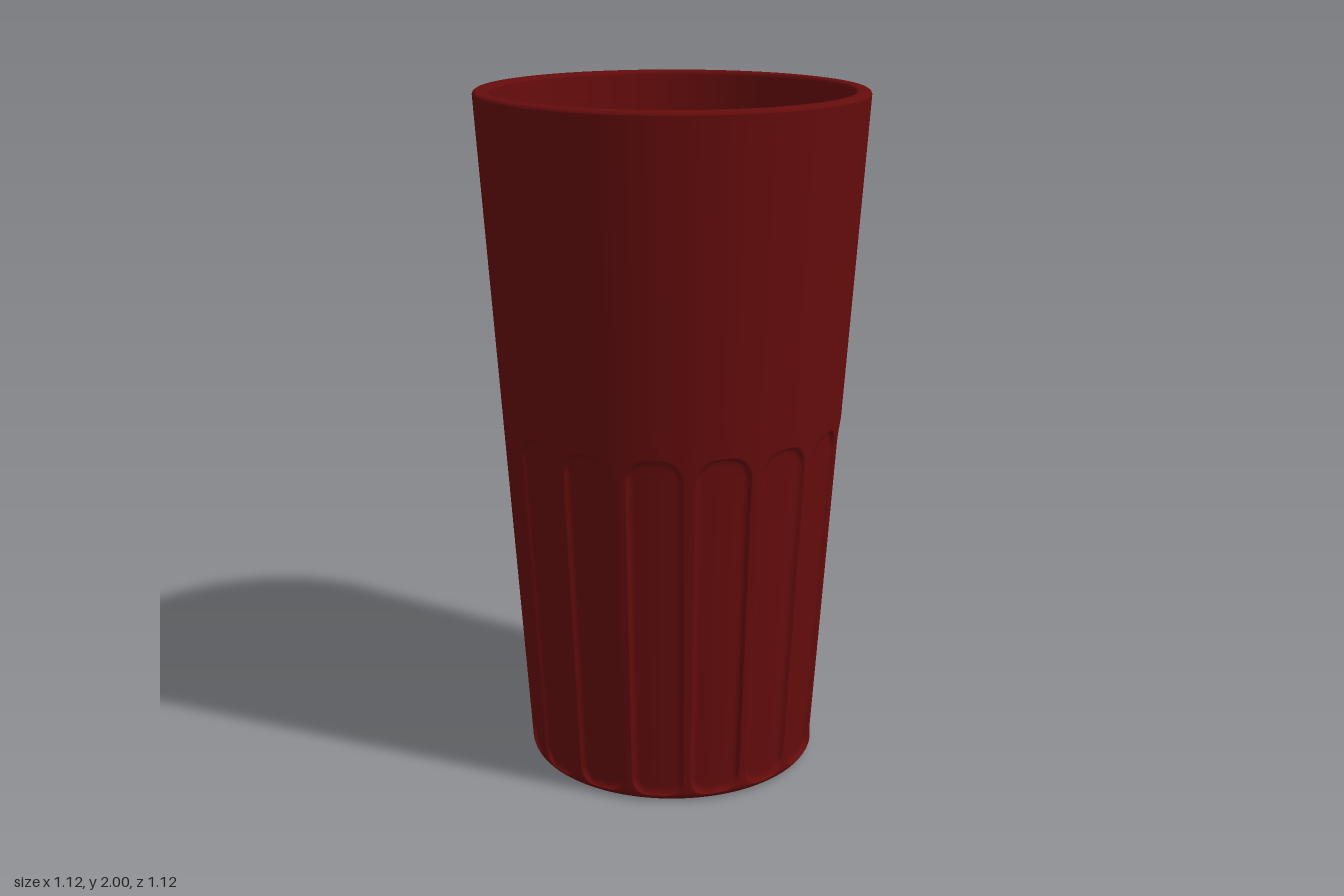
import * as THREE from 'three';

const FLUTES = 16, PITCH = (Math.PI * 2) / FLUTES;
const BOTTOM = 0.02, TOP = 1.06;      // height range of the flutes
const R_BOTTOM = 0.05, R_TOP = 0.07;  // corner radii of the flute outline
const DEPTH = 0.013, BEVEL = 0.02;
const FILLET = 0.03;

// Tapered outer wall with a rounded foot
function outerRadius(y) {
  const r = 0.4295 + 0.0652 * y;
  const k = Math.max(0, 1 - y / FILLET);
  return r - FILLET * (1 - Math.sqrt(1 - k * k));
}

const fluteHalfWidth = (y) => 0.073 + 0.006 * y;

// Half width of the rounded flute outline at height y
function outlineHalfWidth(y) {
  const hw = fluteHalfWidth(y);
  const inset = (r, d) => hw - r + Math.sqrt(Math.max(0, r * r - d * d));
  if (y > TOP - R_TOP) return inset(R_TOP, Math.min(R_TOP, y - TOP + R_TOP));
  if (y < BOTTOM + R_BOTTOM) return inset(R_BOTTOM, Math.min(R_BOTTOM, BOTTOM + R_BOTTOM - y));
  return hw;
}

// Groove depth: a rounded step down from the outline to a level floor
function fluteDepth(x, y) {
  if (y <= BOTTOM || y >= TOP) return 0;
  const r = y > (BOTTOM + TOP) / 2 ? R_TOP : R_BOTTOM;
  const dx = Math.abs(x) - fluteHalfWidth(y) + r;
  const dy = Math.max(y - TOP, BOTTOM - y) + r;
  const edge = r - Math.hypot(Math.max(dx, 0), Math.max(dy, 0)) - Math.min(Math.max(dx, dy), 0);
  const k = 1 - THREE.MathUtils.clamp(edge / BEVEL, 0, 1);
  return DEPTH * Math.sqrt(1 - k * k);
}

function flutedWall() {
  // Rows gather at the foot and at both ends of the flutes
  const rows = [];
  for (let i = 0; i < 6; i++) rows.push(FILLET * (1 - Math.cos((i / 6) * Math.PI / 2)));
  for (let i = 0; i <= 10; i++) rows.push(BOTTOM + R_BOTTOM * (1 - Math.cos((i / 10) * Math.PI / 2)));
  for (let i = 1; i < 10; i++) rows.push(THREE.MathUtils.lerp(BOTTOM + R_BOTTOM, TOP - R_TOP, i / 10));
  for (let i = 0; i <= 12; i++) rows.push(TOP - R_TOP + R_TOP * Math.sin((i / 12) * Math.PI / 2));
  for (let i = 1; i <= 8; i++) rows.push(THREE.MathUtils.lerp(TOP, 1.99, i / 8));
  rows.sort((a, b) => a - b);

  // Columns of one sector: |t| <= 1 lies in the flute, beyond that on the rib
  const half = [0.4, 0.73, 0.8, 0.87, 0.95, 1, 1.25, 1.5, 1.75];
  const columns = [...half.map((t) => -t).reverse(), 0, ...half, 2];
  const n = columns.length * FLUTES;
  const positions = [], index = [];
  for (const y of rows) {
    const r = outerRadius(y), w = outlineHalfWidth(y);
    for (let s = 0; s < FLUTES; s++) {
      for (const t of columns) {
        const a = Math.abs(t);
        const x = a <= 1 ? a * w : THREE.MathUtils.lerp(w, (PITCH / 2) * r, a - 1);
        const angle = s * PITCH + (Math.sign(t) * x) / r;
        const d = r - (a < 1 ? fluteDepth(x, y) : 0);
        positions.push(d * Math.sin(angle), y, d * Math.cos(angle));
      }
    }
  }
  for (let j = 0; j < rows.length - 1; j++) {
    for (let i = 0; i < n; i++) {
      const a = j * n + i, b = j * n + ((i + 1) % n);
      index.push(a, b, b + n, a, b + n, a + n);
    }
  }
  const geometry = new THREE.BufferGeometry();
  geometry.setAttribute('position', new THREE.Float32BufferAttribute(positions, 3));
  geometry.setIndex(index);
  geometry.computeVertexNormals();
  return geometry;
}

const lathe = (points) =>
  new THREE.LatheGeometry(points.map(([x, y]) => new THREE.Vector2(x, y)), 128);

export function createModel() {
  const group = new THREE.Group();
  const material = new THREE.MeshStandardMaterial({ color: 0x660c0c, side: THREE.DoubleSide });
  const add = (name, geometry) => {
    const mesh = new THREE.Mesh(geometry, material);
    mesh.name = name;
    group.add(mesh);
  };

  add('flutedOuterWall', flutedWall());

  // Flat lip with softened edges
  const lip = outerRadius(1.99);
  add('rim', lathe([[lip, 1.99], [lip - 0.002, 1.996], [lip - 0.008, 2],
    [0.522, 2], [0.517, 1.997], [0.515, 1.99]]));

  // Inner wall runs down into a small fillet at the floor
  const inside = [[0.515, 1.99]];
  for (let i = 0; i <= 6; i++) {
    const a = (i / 6) * Math.PI / 2;
    inside.push([0.365 + 0.028 * Math.cos(a), 0.108 - 0.028 * Math.sin(a)]);
  }
  inside.push([0, 0.08]);
  add('innerWallAndFloor', lathe(inside));

  add('base', lathe([[0, 0], [outerRadius(0), 0]]));
  return group;
}
